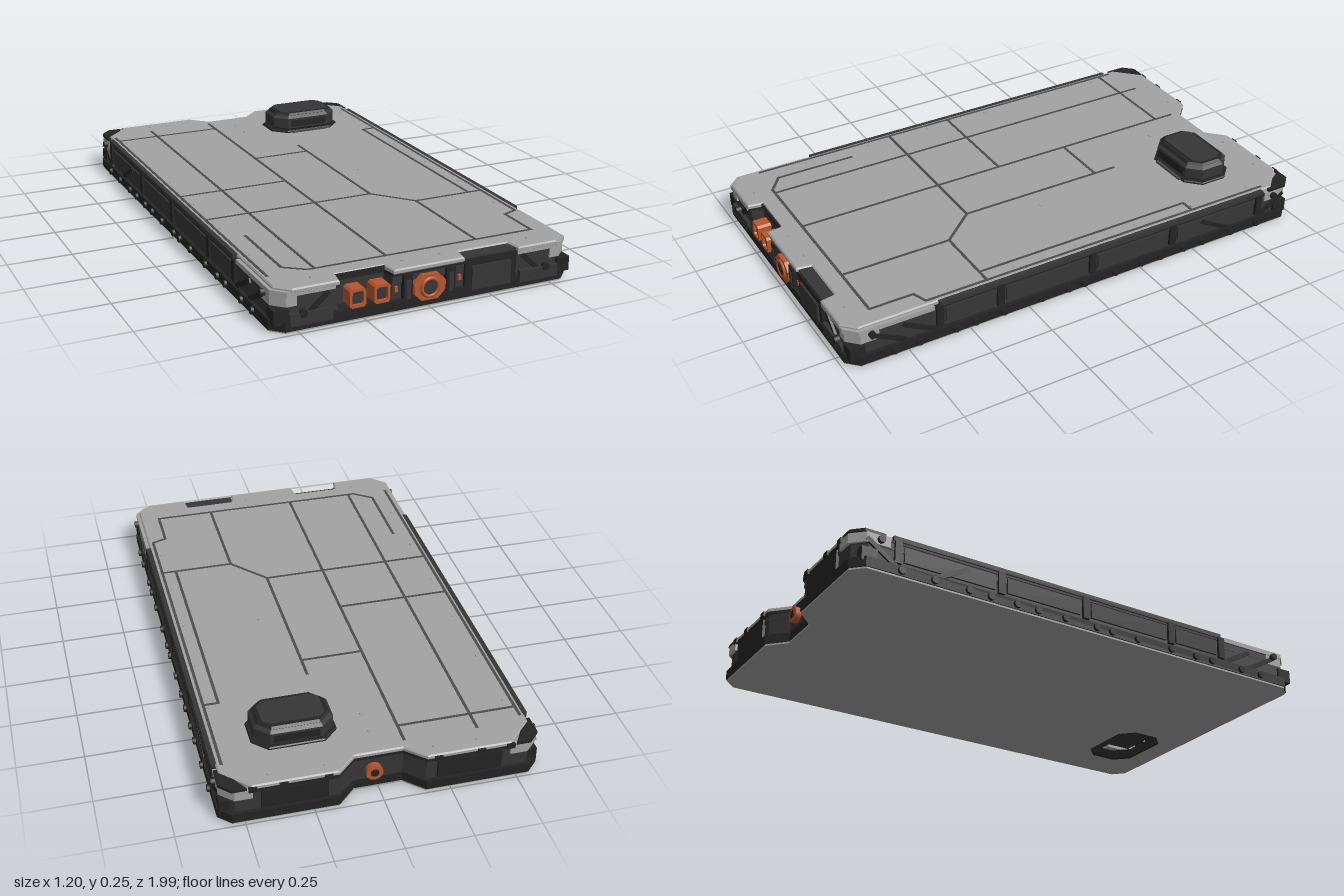
import * as THREE from 'three';

const mat = (name, color) => {
  const m = new THREE.MeshStandardMaterial({ color });
  m.name = name;
  return m;
};

export function createModel() {
  const grey = mat('panel grey', 0xa2a2a2);
  const seam = mat('seam grey', 0x4c4c4c);
  const dark = mat('frame charcoal', 0x363636);
  const black = mat('trim black', 0x242424);
  const orange = mat('connector orange', 0xb8562c);
  const model = new THREE.Group();
  model.name = 'flatPack';

  const add = (name, geo, m, x = 0, y = 0, z = 0) => {
    const mesh = new THREE.Mesh(geo, m);
    mesh.name = name;
    mesh.position.set(x, y, z);
    model.add(mesh);
    return mesh;
  };
  const box = (name, m, w, h, d, x, y, z) => add(name, new THREE.BoxGeometry(w, h, d), m, x, y, z);
  const toShape = pts => new THREE.Shape(pts.map(([x, z]) => new THREE.Vector2(x, -z)));
  // horizontal slab from an x,z outline, between two heights
  const slab = (name, m, pts, y0, y1, bevel = 0, holes = []) => {
    const shape = toShape(pts);
    holes.forEach(h => shape.holes.push(toShape(h)));
    const geo = new THREE.ExtrudeGeometry(shape, {
      depth: y1 - y0 - 2 * bevel, bevelEnabled: bevel > 0, bevelSegments: 1,
      bevelSize: bevel, bevelOffset: -bevel, bevelThickness: bevel,
    });
    geo.rotateX(-Math.PI / 2);
    return add(name, geo, m, 0, y0 + bevel, 0);
  };
  const octagon = (cx, cz, w, d, c) => [
    [-w, -d + c], [-w + c, -d], [w - c, -d], [w, -d + c],
    [w, d - c], [w - c, d], [-w + c, d], [-w, d - c],
  ].map(([x, z]) => [cx + x, cz + z]);

  // outline with a trapezoid notch at the back; front cutouts are optional
  const outline = (w, zb, zf, cb, cf, cuts = []) => [
    [-w, zb + cb], [-w + cb, zb], [-0.16, zb], [-0.09, -0.92], [0.09, -0.92], [0.16, zb],
    [w - cb, zb], [w, zb + cb], [w, zf - cf], [w - cf, zf],
    ...cuts.flatMap(([a, b, z]) => [[b, zf], [b - 0.01, z], [a + 0.01, z], [a, zf]]),
    [-w + cf, zf], [-w, zf - cf],
  ];
  const bay = [-0.345, -0.14, 0.925];
  const hatchCut = [0.14, 0.36, 0.925];

  // shell with a stacking socket in the underside and a socket bay in front
  const socket = octagon(0.27, 0.775, 0.16, 0.11, 0.055);
  slab('basePlate', grey, outline(0.588, -0.986, 0.982, 0.045, 0.045), 0.005, 0.012, 0, [socket]);
  slab('lowerRail', black, outline(0.592, -0.99, 0.986, 0.045, 0.045), 0.012, 0.05, 0, [socket]);
  slab('lowerBody', dark, outline(0.577, -0.977, 0.968, 0.045, 0.045, [bay]), 0.05, 0.11, 0, [socket]);
  slab('upperBody', dark, outline(0.579, -0.981, 0.972, 0.045, 0.045, [bay]), 0.11, 0.137);
  slab('lidTrim', black, outline(0.582, -0.988, 0.978, 0.045, 0.045, [bay]), 0.137, 0.148);
  slab('lid', grey, outline(0.572, -0.988, 0.984, 0.1, 0.05, [hatchCut, bay]), 0.145, 0.165, 0.005);

  // grey corner caps and dark corner feet
  for (const s of [-1, 1]) {
    slab('frontCornerCap', grey, [[s * 0.36, 0.983], [s * 0.54, 0.983], [s * 0.585, 0.938],
      [s * 0.585, 0.64], [s * 0.5, 0.68], [s * 0.36, 0.9]], 0.137, 0.155);
    slab('frontCornerCheek', grey, [[s * 0.5, 0.976], [s * 0.54, 0.976], [s * 0.583, 0.933],
      [s * 0.583, 0.86], [s * 0.5, 0.86]], 0.098, 0.137);
    slab('backCornerCap', grey, [[s * 0.47, -0.991], [s * 0.535, -0.991], [s * 0.585, -0.942],
      [s * 0.585, -0.85], [s * 0.5, -0.86], [s * 0.47, -0.9]], 0.112, 0.15);
    slab('backCornerGuard', black, [[s * 0.49, -0.991], [s * 0.545, -0.991], [s * 0.585, -0.95],
      [s * 0.585, -0.87], [s * 0.565, -0.87]], 0.15, 0.161);
    for (const z of [0.947, -0.93]) box('cornerFoot', black, 0.055, 0.055, 0.06, s * 0.558, 0.063, z);
    for (const z of [0.89, -0.89])
      add('cornerBolt', new THREE.CylinderGeometry(0.014, 0.014, 0.026, 8).rotateZ(Math.PI / 2),
        black, s * 0.587, 0.13, z);
  }

  // long sides: panels, ribs, braces and bolts
  const boltZ = [-0.81, -0.68, -0.54, -0.45, -0.34, -0.25, -0.13, 0.01, 0.08, 0.2, 0.36, 0.48,
    0.56, 0.71, 0.81];
  for (const s of [-1, 1]) {
    const bays = [0.62, 0.37, -0.03, -0.4, -0.82];
    bays.forEach((z, i) => {
      box('sideRib', black, 0.022, 0.09, 0.028, s * 0.578, 0.105, z);
      if (i) {
        const d = bays[i - 1] - z - 0.05;
        box('sidePanel', dark, 0.016, 0.06, d, s * 0.577, 0.1, (bays[i - 1] + z) / 2);
      }
    });
    box('sideTopRail', dark, 0.02, 0.018, 1.46, s * 0.577, 0.155, -0.11);
    for (const [z, a] of [[0.7, -0.5], [0.82, -0.5], [-0.6, -0.5], [-0.88, 0.6]])
      box('sideBrace', black, 0.02, 0.018, 0.15, s * 0.576, 0.085, z).rotation.x = a;
    for (const z of boltZ)
      add('sideBolt', new THREE.CylinderGeometry(0.014, 0.016, 0.02, 8).rotateZ(-s * Math.PI / 2),
        black, s * 0.592, 0.03, z);
  }

  // seam lines on the lid, drawn as runs of x,z points
  const runs = [
    [[-0.105, -0.88], [-0.105, 0.85]],
    [[-0.38, -0.88], [-0.38, 0.85]],
    [[-0.555, -0.8], [-0.105, -0.8]],
    [[-0.55, -0.015], [-0.11, -0.015]],
    [[-0.55, 0.265], [0.135, 0.265], [0.26, 0.41], [0.555, 0.41]],
    [[-0.105, -0.33], [0.135, -0.33]],
    [[0.135, -0.42], [0.135, 0.265]],
    [[0.26, 0.41], [0.26, 0.855]],
    [[-0.48, 0.475], [-0.48, 0.8], [-0.405, 0.855], [0.495, 0.855], [0.495, 0.68], [0.55, 0.66]],
    [[0.495, 0.41], [0.495, -0.51], [0.55, -0.51]],
    [[0.552, -0.85], [0.552, 0.66]],
    [[-0.555, -0.85], [-0.555, 0.85]],
  ];
  for (const run of runs) for (let i = 1; i < run.length; i++) {
    const [[x0, z0], [x1, z1]] = [run[i - 1], run[i]];
    const len = Math.hypot(x1 - x0, z1 - z0);
    box('lidSeam', seam, 0.011, 0.003, len + 0.008, (x0 + x1) / 2, 0.1645, (z0 + z1) / 2)
      .rotation.y = Math.atan2(x1 - x0, z1 - z0);
  }
  // lid screws
  const screws = [[-0.36, -0.94], [-0.2, -0.94], [0, -0.8], [0, -0.7], [0.2, -0.94], [0.4, -0.94],
    [-0.42, 0.92], [0.08, 0.92], [0.44, 0.92], [0.23, -0.02], [-0.07, 0.92]];
  for (let i = 0; i < 6; i++) screws.push([0.53, -0.8 + i * 0.27], [-0.53, -0.75 + i * 0.28]);
  for (const [x, z] of screws)
    add('lidScrew', new THREE.CylinderGeometry(0.009, 0.011, 0.006, 8), grey, x, 0.165, z);

  // raised block on the lid
  const [bx, bz] = [0.27, -0.71];
  slab('blockSkirt', black, octagon(bx, bz, 0.158, 0.108, 0.055), 0.16, 0.174, 0.004);
  slab('blockBody', dark, octagon(bx, bz, 0.146, 0.099, 0.05), 0.17, 0.238, 0.012);
  slab('blockCap', black, octagon(bx, bz, 0.135, 0.088, 0.045), 0.225, 0.246, 0.008);
  slab('blockTopPanel', dark, octagon(bx, bz, 0.115, 0.065, 0.02), 0.244, 0.25);
  for (const s of [-1, 1]) box('blockSidePanel', black, 0.17, 0.03, 0.008, bx, 0.203, bz + s * 0.097);
  box('blockLip', seam, 0.16, 0.01, 0.016, bx, 0.168, bz + 0.108);

  // front face: bay rim, hatch, mounts and braces
  box('socketBayTop', black, 0.19, 0.014, 0.012, -0.2425, 0.155, 0.925);
  box('hatchFrame', black, 0.21, 0.135, 0.02, 0.25, 0.085, 0.97);
  box('hatchDoor', dark, 0.16, 0.09, 0.012, 0.25, 0.08, 0.982);
  box('hatchTop', dark, 0.21, 0.012, 0.05, 0.25, 0.154, 0.95);
  for (const s of [-1, 1]) {
    box('connectorMount', black, 0.035, 0.11, 0.03, s * 0.085, 0.085, 0.972);
    box('connectorMountPad', dark, 0.018, 0.07, 0.01, s * 0.085, 0.085, 0.986);
    box('frontBrace', black, 0.13, 0.018, 0.02, s * 0.43, 0.085, 0.968).rotation.z = -s * 0.75;
    box('frontSkirt', dark, 0.16, 0.045, 0.016, s * 0.45, 0.05, 0.979);
    add('frontBolt', new THREE.CylinderGeometry(0.014, 0.014, 0.02, 8).rotateX(Math.PI / 2),
      black, s * 0.48, 0.07, 0.982);
    box('frontTab', orange, 0.012, 0.02, 0.012, s * 0.126, 0.088, 0.972);
  }

  // upright plate facing the front, with an optional hole
  const plate = (name, m, pts, hole, depth, x, y, z) => {
    const shape = new THREE.Shape(pts.map(p => new THREE.Vector2(...p)));
    if (hole) shape.holes.push(new THREE.Path(hole.map(p => new THREE.Vector2(...p))));
    return add(name, new THREE.ExtrudeGeometry(shape, { depth, bevelEnabled: false }), m, x, y, z);
  };
  // two square sockets standing in the bay
  for (const x of [-0.277, -0.184]) {
    plate('squareSocket', orange, octagon(0, 0, 0.031, 0.035, 0.008),
      octagon(0, 0, 0.021, 0.024, 0.005), 0.056, x, 0.087, 0.93);
    box('squareSocketCore', dark, 0.044, 0.05, 0.04, x, 0.087, 0.955);
  }
  // round front connector
  plate('mainConnectorPlate', orange, octagon(0, 0, 0.062, 0.048, 0.03), null, 0.03, 0, 0.08, 0.96);
  add('mainConnectorRing', new THREE.TorusGeometry(0.033, 0.007, 8, 20), orange, 0, 0.08, 0.991);
  add('mainConnectorCore', new THREE.CylinderGeometry(0.027, 0.027, 0.008, 16).rotateX(Math.PI / 2),
    dark, 0, 0.08, 0.99);
  // back connector inside the notch
  add('backConnector', new THREE.CylinderGeometry(0.03, 0.032, 0.03, 12).rotateX(Math.PI / 2),
    orange, 0.02, 0.09, -0.93);
  add('backConnectorCore', new THREE.CylinderGeometry(0.016, 0.016, 0.006, 12).rotateX(Math.PI / 2),
    black, 0.02, 0.09, -0.944);
  // back face panels
  for (const s of [-1, 1]) {
    box('backPanel', black, 0.24, 0.075, 0.016, s * 0.32, 0.095, -0.98);
    for (const x of [0.2, 0.36, 0.47])
      box('backLug', black, 0.03, 0.02, 0.01, s * x, 0.15, -0.99);
  }
  return model;
}
